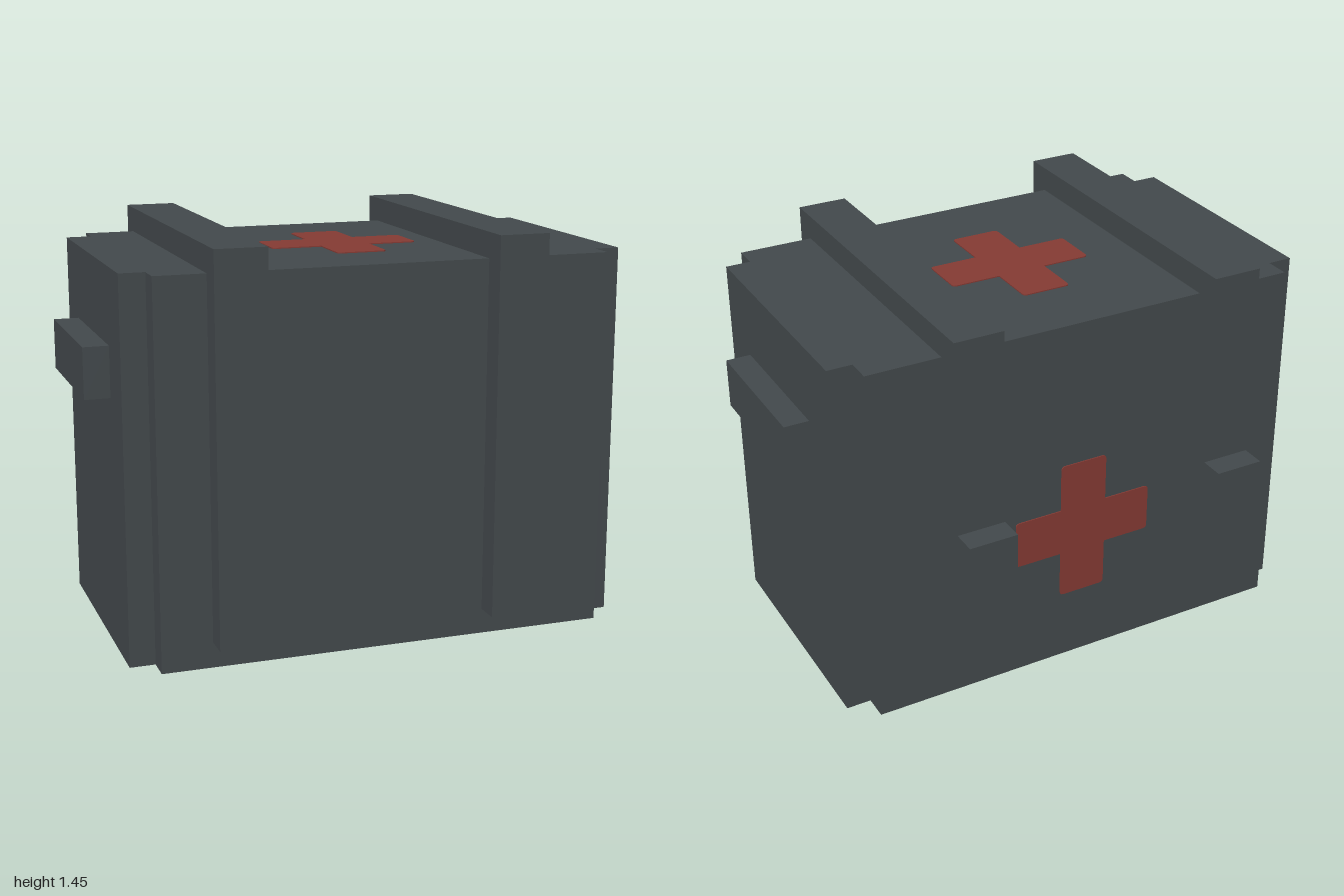
import * as THREE from 'three';

const U = 1 / 11; // block size that all parts snap to
const CZ = U / 2; // body centre in z

function polygon(points) {
  return new THREE.Shape(points.map(([a, b]) => new THREE.Vector2(a, b)));
}

// Plus sign with slightly rounded outer tips, centred on the origin
function crossShape(long, half, r) {
  const s = new THREE.Shape();
  const dirs = [[1, 0], [0, 1], [-1, 0], [0, -1]];
  dirs.forEach(([c, n], i) => {
    const p = (a, b) => [a * c - b * n, a * n + b * c];
    if (i === 0) s.moveTo(...p(half, -half));
    else s.lineTo(...p(half, -half));
    s.lineTo(...p(long - r, -half));
    s.quadraticCurveTo(...p(long, -half), ...p(long, -half + r));
    s.lineTo(...p(long, half - r));
    s.quadraticCurveTo(...p(long, half), ...p(long - r, half));
  });
  s.closePath();
  return s;
}

export function createModel() {
  const model = new THREE.Group();
  model.name = 'medicalCrate';

  const gray = new THREE.MeshStandardMaterial({ color: 0x42484b });
  gray.name = 'dark gray';
  const red = new THREE.MeshStandardMaterial({ color: 0x843a33 });
  red.name = 'red';

  const add = (name, geometry, material, x, y, z) => {
    const mesh = new THREE.Mesh(geometry, material);
    mesh.name = name;
    mesh.position.set(x, y, z);
    model.add(mesh);
    return mesh;
  };

  // Body: plan outline with stepped corners, raised to full height
  const outline = [
    [9, -6], [9, 5], [10, 5], [10, -5], [9, -5],
  ];
  const X = 9 * U, XE = 10 * U, Z = 6 * U, ZE = 5 * U;
  outline.length = 0;
  outline.push([X, -Z], [X, -ZE], [XE, -ZE], [XE, ZE], [X, ZE], [X, Z],
    [-X, Z], [-X, ZE], [-XE, ZE], [-XE, -ZE], [-X, -ZE], [-X, -Z]);
  const body = new THREE.ExtrudeGeometry(polygon(outline), { depth: 15 * U, bevelEnabled: false });
  body.rotateX(-Math.PI / 2);
  add('body', body, gray, 0, 0, CZ);

  // Straps running up the front, over the lid and down the back, with latches behind
  const band = polygon([
    [7 * U, U], [7 * U, 16 * U], [-7 * U, 16 * U], [-7 * U, U],
    [-6 * U, U], [-6 * U, 15 * U], [6 * U, 15 * U], [6 * U, U],
  ]);
  const strap = new THREE.ExtrudeGeometry(band, { depth: 2 * U, bevelEnabled: false });
  strap.translate(0, 0, -U);
  strap.rotateY(-Math.PI / 2);
  const latch = new THREE.BoxGeometry(2 * U, 2 * U, U);
  for (const [side, x] of [['left', 5 * U], ['right', -6 * U]]) {
    add(side + 'Strap', strap, gray, x, 0, CZ);
    add(side + 'Latch', latch, gray, x, 7 * U, CZ - 7.5 * U);
  }

  // Carrying handles on both ends
  const handle = new THREE.BoxGeometry(U, 2 * U, 6 * U);
  add('leftHandle', handle, gray, 10.5 * U, 11 * U, CZ);
  add('rightHandle', handle, gray, -10.5 * U, 11 * U, CZ);

  // Painted crosses on the lid and the back
  const cross = new THREE.ExtrudeGeometry(crossShape(3 * U, U, 0.015), {
    depth: 0.004, bevelEnabled: false, curveSegments: 3,
  });
  add('lidCross', cross, red, 0, 15 * U, CZ).rotation.x = -Math.PI / 2;
  add('backCross', cross, red, 0, 6 * U, CZ - 6 * U).rotation.y = Math.PI;

  return model;
}
